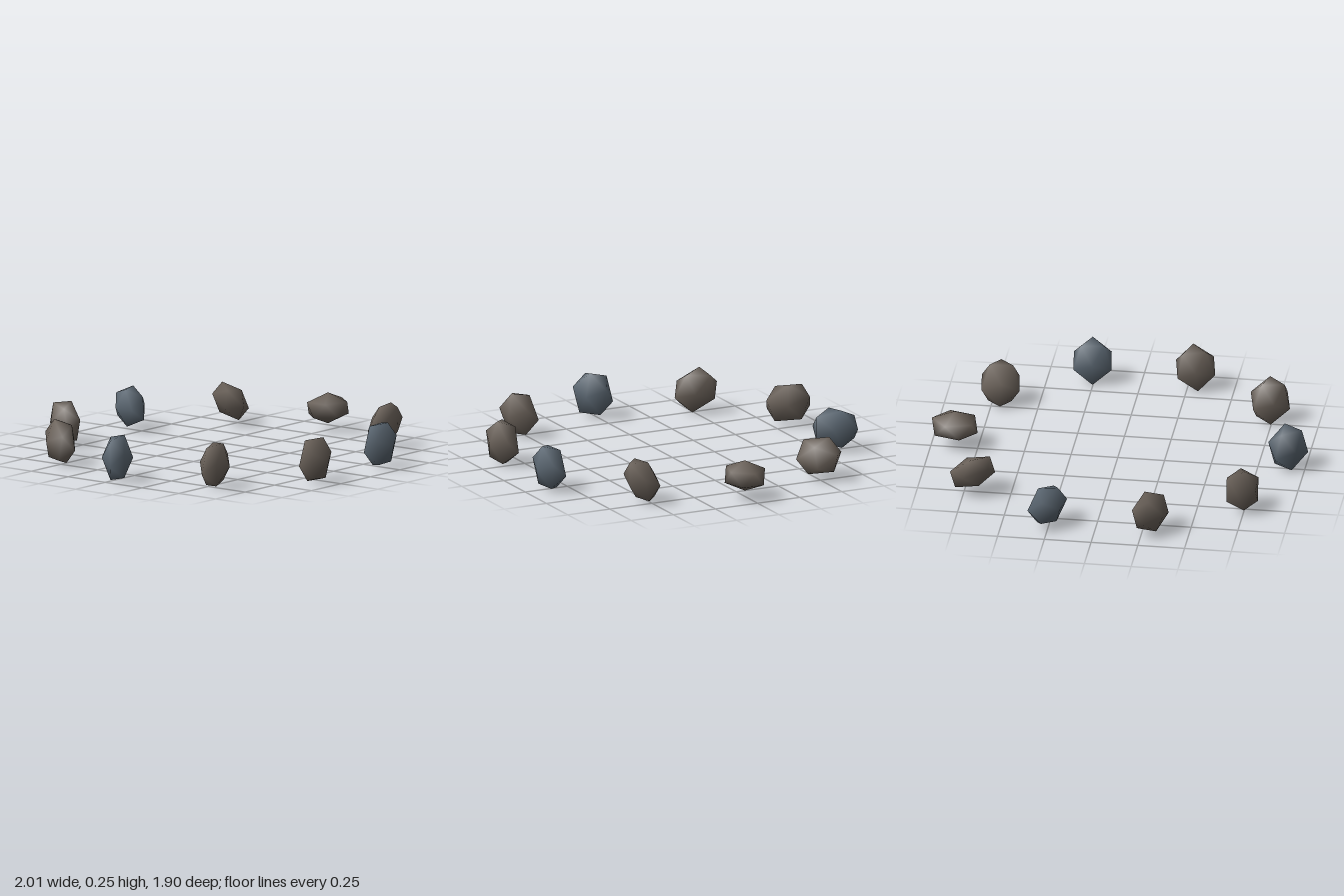
import * as THREE from 'three';
import { mergeVertices } from 'three/addons/utils/BufferGeometryUtils.js';

// Smooth-shaded 20-sided stone: one corner up, longest along x, flattest along y
function stoneGeometry() {
  let geo = new THREE.IcosahedronGeometry(1, 0);
  geo.deleteAttribute('uv');
  geo.deleteAttribute('normal');
  geo = mergeVertices(geo, 1e-3);
  geo.rotateZ(-Math.atan(2 / (1 + Math.sqrt(5))));
  geo.scale(0.137, 0.083, 0.118);
  geo.computeVertexNormals();
  return geo;
}

// Each stone: direction of its flat face, then of its long axis
const STONES = [
  [[0, 1, 0], [1, 0, 0]],
  [[0.15, -0.36, 0.92], [0, 1, 0.3]],
  [[0.12, -0.08, 0.99], [0, 1, 0]],
  [[0.14, -0.04, 0.99], [0.1, 1, 0]],
  [[0.37, -0.12, 0.92], [-0.1, 1, 0]],
  [[0.6, 0, 0.78], [0, 1, 0]],
  [[0.88, -0.08, 0.44], [0.25, 0.75, -0.6]],
  [[0.88, 0, 0.46], [0.4, 0.35, -0.85]],
  [[0.86, 0.05, 0.5], [0.5, 0, -0.86]],
  [[0.45, 0.68, 0.52], [0.8, 0, -0.6]],
];

export function createModel() {
  const brownStone = new THREE.MeshStandardMaterial({ color: 0x6b625a });
  brownStone.name = 'brownStone';
  const blueStone = new THREE.MeshStandardMaterial({ color: 0x5c6873 });
  blueStone.name = 'blueStone';

  const ring = new THREE.Group();
  ring.name = 'stoneRing';
  const geo = stoneGeometry();

  // Ten stones spaced evenly round a circle, every third one blue
  STONES.forEach(([flat, long], i) => {
    const stone = new THREE.Mesh(geo, i % 3 === 2 ? blueStone : brownStone);
    stone.name = 'stone' + (i + 1);
    const y = new THREE.Vector3(...flat).normalize();
    const z = new THREE.Vector3(...long).cross(y).normalize();
    const x = new THREE.Vector3().crossVectors(y, z);
    stone.quaternion.setFromRotationMatrix(new THREE.Matrix4().makeBasis(x, y, z));
    const angle = (i / STONES.length) * Math.PI * 2;
    stone.position.set(-0.018 + 0.892 * Math.cos(angle), 0.13, 0.012 + 0.892 * Math.sin(angle));
    ring.add(stone);
  });
  return ring;
}
